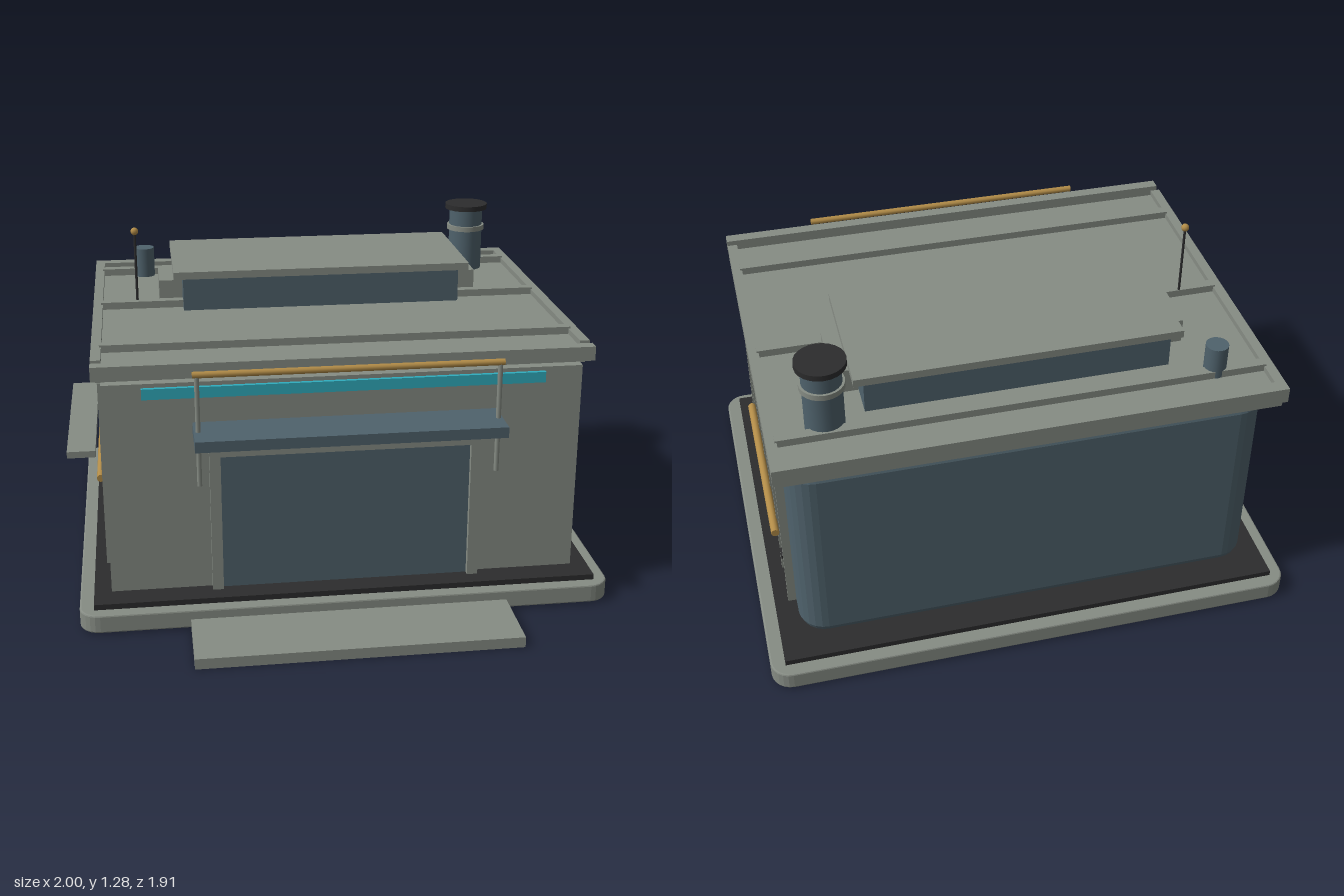
import * as THREE from 'three';

const CX = 0.011; // centre line of the building

export function createModel() {
  const model = new THREE.Group();
  model.name = 'utilityBuilding';

  const paint = (name, color) => {
    const m = new THREE.MeshStandardMaterial({ color });
    m.name = name;
    return m;
  };
  const grey = paint('concreteGrey', 0x868c84);
  const slate = paint('slateBlue', 0x4f626c);
  const dark = paint('charcoal', 0x2c2c2d);
  const brass = paint('brass', 0xb28c48);
  const cyan = paint('cyanGlass', 0x30adbe);

  const add = (name, geometry, material, x = 0, y = 0, z = 0) => {
    const mesh = new THREE.Mesh(geometry, material);
    mesh.name = name;
    mesh.position.set(x, y, z);
    model.add(mesh);
    return mesh;
  };

  // Box given by its limits on each axis
  const box = (name, material, [x0, x1], [y0, y1], [z0, z1]) =>
    add(name, new THREE.BoxGeometry(x1 - x0, y1 - y0, z1 - z0), material,
      (x0 + x1) / 2, (y0 + y1) / 2, (z0 + z1) / 2);

  // Span centred on the building's centre line
  const wide = (half) => [CX - half, CX + half];

  // Upright cylinder between two heights
  const post = (name, material, r, y0, y1, x, z, sides = 20, rTop = r) =>
    add(name, new THREE.CylinderGeometry(rTop, r, y1 - y0, sides), material, x, (y0 + y1) / 2, z);

  // Slab with rounded vertical corners and bevelled rims
  const roundedSlab = (name, material, halfX, [y0, y1], [z0, z1], r, bevel) => {
    const a = halfX - bevel, b = (z1 - z0) / 2 - bevel, k = r - bevel;
    const s = new THREE.Shape();
    s.absarc(a - k, b - k, k, 0, Math.PI / 2);
    s.absarc(-a + k, b - k, k, Math.PI / 2, Math.PI);
    s.absarc(-a + k, -b + k, k, Math.PI, Math.PI * 1.5);
    s.absarc(a - k, -b + k, k, Math.PI * 1.5, Math.PI * 2);
    const g = new THREE.ExtrudeGeometry(s, {
      depth: y1 - y0 - 2 * bevel, curveSegments: 3,
      bevelEnabled: true, bevelThickness: bevel, bevelSize: bevel, bevelSegments: 2,
    });
    g.rotateX(-Math.PI / 2);
    add(name, g, material, CX, y0 + bevel, (z0 + z1) / 2);
  };

  // Ground slab, plinth and entry step
  roundedSlab('baseSlab', grey, 0.986, [0.006, 0.076], [-0.955, 0.67], 0.075, 0.006);
  box('plinth', dark, wide(0.933), [0.07, 0.097], [-0.905, 0.623]);
  box('entryStep', grey, wide(0.586), [0, 0.04], [0.52, 0.952]);

  // Main body and front wall
  roundedSlab('body', slate, 0.855, [0.125, 0.887], [-0.83, 0.457], 0.1, 0.03);
  box('frontWall', grey, wide(0.869), [0.095, 0.902], [0.455, 0.525]);

  // Doorway
  box('door', slate, wide(0.463), [0.097, 0.625], [0.52, 0.538]);
  for (const s of [-1, 1]) {
    const xs = [CX + s * 0.458, CX + s * 0.498].sort((a, b) => a - b);
    box('doorJamb', grey, xs, [0.097, 0.655], [0.52, 0.56]);
  }
  box('doorHead', grey, wide(0.458), [0.624, 0.655], [0.52, 0.56]);
  box('lintelPanel', slate, wide(0.49), [0.655, 0.715], [0.52, 0.552]);
  box('canopy', slate, wide(0.553), [0.71, 0.75], [0.525, 0.718]);
  for (const s of [-1, 1]) {
    const x = CX + s * 0.356;
    box('entryLight', cyan, [x - 0.027, x + 0.027], [0.681, 0.705], [0.552, 0.56]);
  }
  box('frontWindowStrip', cyan, wide(0.729), [0.847, 0.887], [0.524, 0.54]);

  // Front rail on hanging posts
  const rail = post('frontRail', brass, 0.012, -0.552, 0.552, CX, 0.62, 12);
  rail.rotation.z = Math.PI / 2;
  rail.position.set(CX, 0.961, 0.62);
  for (const s of [-1, 1]) post('railPost', grey, 0.009, 0.545, 0.955, CX + s * 0.537, 0.62, 10);

  // Side walls: ribs, windows and pipes
  for (const s of [-1, 1]) {
    const span = (a, b) => [CX + s * a, CX + s * b].sort((p, q) => p - q);
    for (let i = 0; i < 7; i++) {
      const z = 0.385 - i * 0.1735;
      box('sideRib', grey, span(0.85, 0.885), [0.15, 0.866], [z - 0.011, z + 0.011]);
    }
    box('sideWindow', cyan, span(0.854, 0.863), [0.56, 0.612], [-0.48, -0.028]);
    const pipe = (name, material, r, y, z0, z1, x) => {
      const m = post(name, material, r, z0, z1, 0, 0, 12);
      m.rotation.x = Math.PI / 2;
      m.position.set(CX + s * x, y, (z0 + z1) / 2);
    };
    pipe('sideRail', brass, 0.015, 0.404, -0.563, 0.182, 0.898);
    pipe('sidePipe', dark, 0.01, 0.249, -0.538, 0.16, 0.876);
  }
  box('sideShelf', grey, [-1, -0.895], [0.558, 0.583], [-0.417, 0.34]);

  // Roof deck, rim and cross battens
  box('roofDeck', grey, wide(0.888), [0.9, 0.962], [-0.865, 0.487]);
  for (const s of [-1, 1]) {
    const xs = [CX + s * 0.865, CX + s * 0.902].sort((a, b) => a - b);
    box('sideParapet', grey, xs, [0.925, 0.983], [-0.87, 0.487]);
  }
  box('backParapet', grey, wide(0.902), [0.925, 0.983], [-0.878, -0.83]);
  box('frontCornice', grey, wide(0.902), [0.93, 0.983], [0.517, 0.562]);
  for (const z of [-0.718, -0.216, 0.322]) {
    box('roofBatten', grey, wide(0.872), [0.955, 0.99], [z - 0.019, z + 0.019]);
  }

  // Rooftop unit
  box('rooftopUnit', slate, wide(0.549), [0.955, 1.1], [-0.622, -0.147]);
  box('rooftopUnitLid', grey, wide(0.586), [1.093, 1.122], [-0.645, -0.126]);
  box('rooftopDuct', grey, wide(0.641), [0.955, 1.054], [-0.5, -0.265]);

  // Chimney
  const [chX, chZ] = [0.703, -0.66];
  post('chimneyCollar', grey, 0.105, 0.88, 0.91, chX, chZ, 24);
  post('chimneyStack', slate, 0.07, 0.95, 1.228, chX, chZ, 24);
  post('chimneyRing', grey, 0.079, 1.132, 1.153, chX, chZ, 24);
  post('chimneyCap', dark, 0.089, 1.222, 1.243, chX, chZ, 24);

  // Small vent and antenna
  post('roofVent', slate, 0.041, 0.955, 1.083, -0.682, -0.698);
  post('antennaMast', dark, 0.005, 0.955, 1.26, -0.718, -0.228, 8);
  add('antennaTip', new THREE.SphereGeometry(0.015, 12, 8), brass, -0.718, 1.267, -0.228);

  return model;
}
